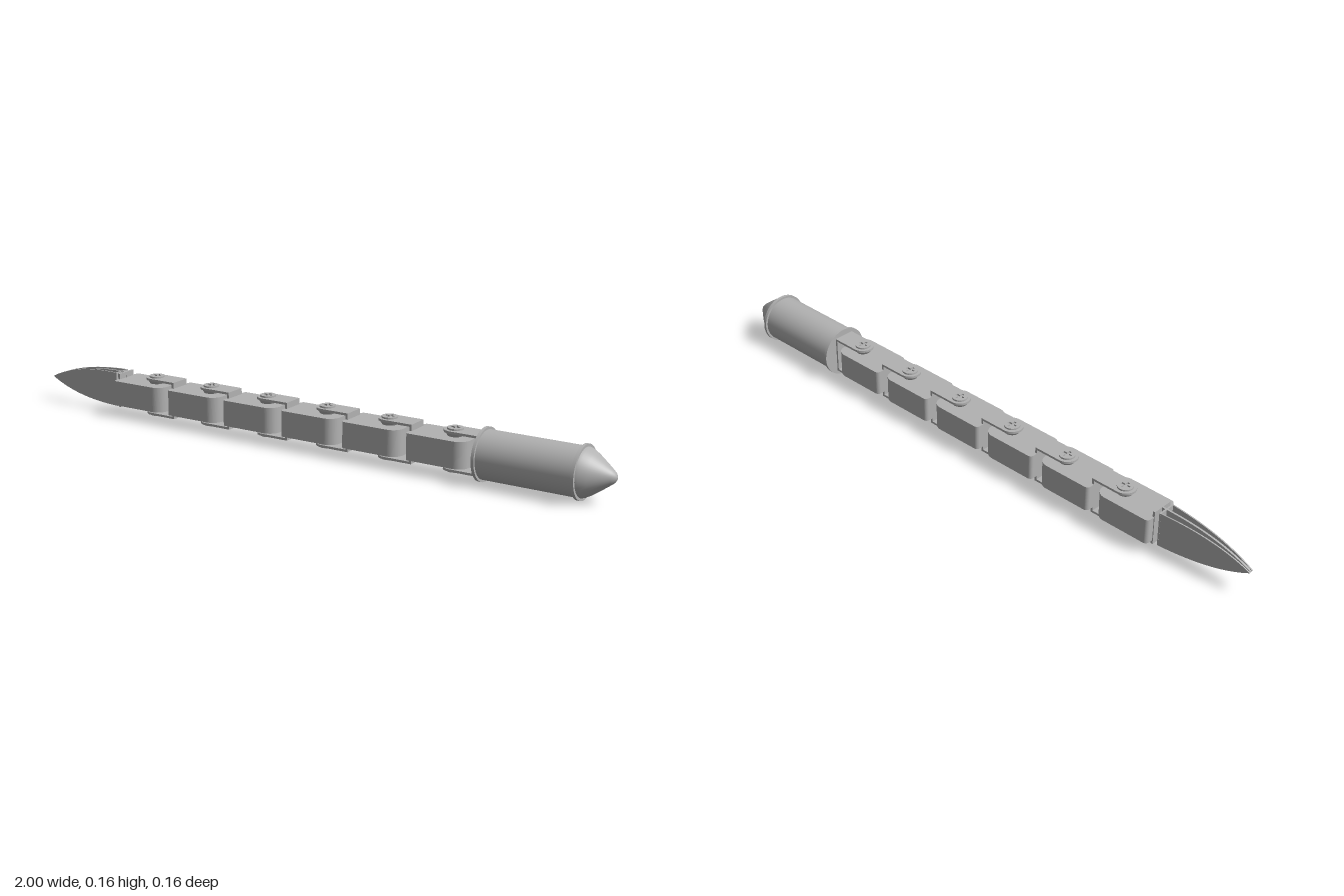
import * as THREE from 'three';

const CY = 0.08; // height of the long axis

export function createModel() {
  const model = new THREE.Group();
  const steel = new THREE.MeshStandardMaterial({ color: 0xb2b2b2 });
  steel.name = 'steel';

  const add = (parent, name, geometry, x = 0, y = 0, z = 0) => {
    const mesh = new THREE.Mesh(geometry, steel);
    mesh.name = name;
    mesh.position.set(x, y, z);
    parent.add(mesh);
    return mesh;
  };

  // Extrudes an x/z outline upwards, centred on y = 0
  const slab = (shape, height) =>
    new THREE.ExtrudeGeometry(shape, { depth: height, bevelEnabled: false, curveSegments: 10 })
      .translate(0, 0, -height / 2).rotateX(-Math.PI / 2);

  // Outline with different corner radii at the left and right ends
  const roundedOutline = (x0, x1, h, rl, rr) => {
    const s = new THREE.Shape();
    s.moveTo(x0 + rl, -h);
    s.lineTo(x1 - rr, -h);
    s.absarc(x1 - rr, -h + rr, rr, -Math.PI / 2, 0, false);
    s.lineTo(x1, h - rr);
    s.absarc(x1 - rr, h - rr, rr, 0, Math.PI / 2, false);
    s.lineTo(x0 + rl, h);
    s.absarc(x0 + rl, h - rl, rl, Math.PI / 2, Math.PI, false);
    s.lineTo(x0, -h + rl);
    s.absarc(x0 + rl, -h + rl, rl, Math.PI, Math.PI * 1.5, false);
    return s;
  };

  // Handle: tube, two rims and a domed point, turned around the x axis
  const turned = (name, points) => {
    const mesh = add(model, name, new THREE.LatheGeometry(
      points.map(([r, x]) => new THREE.Vector2(r, x)), 48), 0, CY, 0);
    mesh.rotation.z = -Math.PI / 2;
  };
  turned('handleGrip', [[0.072, 0.605], [0.072, 0.9]]);
  for (const x of [0.6, 0.898]) {
    const rim = add(model, 'handleRim', new THREE.CylinderGeometry(0.079, 0.079, 0.009, 48), x + 0.0045, CY, 0);
    rim.rotation.z = Math.PI / 2;
  }
  turned('handlePoint', [[0.072, 0.905], [0.069, 0.915], [0.058, 0.935], [0.038, 0.963],
    [0.021, 0.986], [0.014, 0.994], [0.006, 0.999], [0, 1]]);

  // Shared link geometry, measured from the pivot screw
  const blockGeo = slab(roundedOutline(-0.13, 0.06, 0.06, 0.012, 0.035), 0.08);
  const strapGeo = slab(roundedOutline(-0.033, 0.09, 0.034, 0.0339, 0.001), 0.007);
  const wallGeo = new THREE.BoxGeometry(0.007, 0.118, 0.068);
  const washerGeo = new THREE.CylinderGeometry(0.03, 0.022, 0.014, 24);

  // Screw head with a cross-shaped recess
  const head = new THREE.Shape().absarc(0, 0, 0.024, 0, Math.PI * 2, false);
  const a = 0.015, b = 0.004;
  head.holes.push(new THREE.Path([[a, b], [b, b], [b, a], [-b, a], [-b, b], [-a, b],
    [-a, -b], [-b, -b], [-b, -a], [b, -a], [b, -b], [a, -b]].map(p => new THREE.Vector2(...p))));
  const headGeo = slab(head, 0.006);

  for (let i = 0; i < 6; i++) {
    const link = new THREE.Group();
    link.name = 'link' + (i + 1);
    link.position.set(-0.565 + i * 0.2148, CY, 0);
    model.add(link);
    add(link, 'linkBlock', blockGeo);
    add(link, 'bracketWall', wallGeo, 0.0885);
    for (const s of [1, -1]) {
      add(link, 'bracketStrap', strapGeo, 0, s * 0.0555);
      add(link, 'screwHead', headGeo, 0, s * 0.061);
      const washer = add(link, 'pivotWasher', washerGeo, 0, s * 0.046);
      if (s < 0) washer.rotation.x = Math.PI;
    }
  }

  // Blade: pointed leaf outline, a flat core and two splayed cheeks
  const leaf = (xEnd) => {
    const s = new THREE.Shape();
    s.moveTo(-1, 0);
    s.bezierCurveTo(-0.93, -0.035, -0.84, -0.055, -0.712, -0.055);
    s.lineTo(xEnd, -0.055);
    s.lineTo(xEnd, 0.055);
    s.lineTo(-0.712, 0.055);
    s.bezierCurveTo(-0.84, 0.055, -0.93, 0.035, -1, 0);
    return s;
  };
  const sheet = (xEnd, t) => new THREE.ExtrudeGeometry(leaf(xEnd),
    { depth: t, bevelEnabled: false, curveSegments: 20 }).translate(0, 0, -t / 2);

  add(model, 'bladeCore', sheet(-0.69, 0.006), 0, 0.083, 0);
  for (const s of [1, -1]) {
    const cheek = sheet(-0.71, 0.004);
    const p = cheek.attributes.position;
    for (let k = 0; k < p.count; k++) {
      p.setZ(k, p.getZ(k) + s * (0.006 + 0.021 * (p.getX(k) + 1) / 0.29));
    }
    cheek.computeVertexNormals();
    add(model, 'bladeCheek', cheek, 0, 0.083, 0);
  }
  add(model, 'bladeBackPlate', new THREE.BoxGeometry(0.005, 0.11, 0.058), -0.711, 0.083, 0);
  add(model, 'bladeMount', new THREE.BoxGeometry(0.007, 0.11, 0.068), -0.694, 0.083, 0);

  return model;
}
